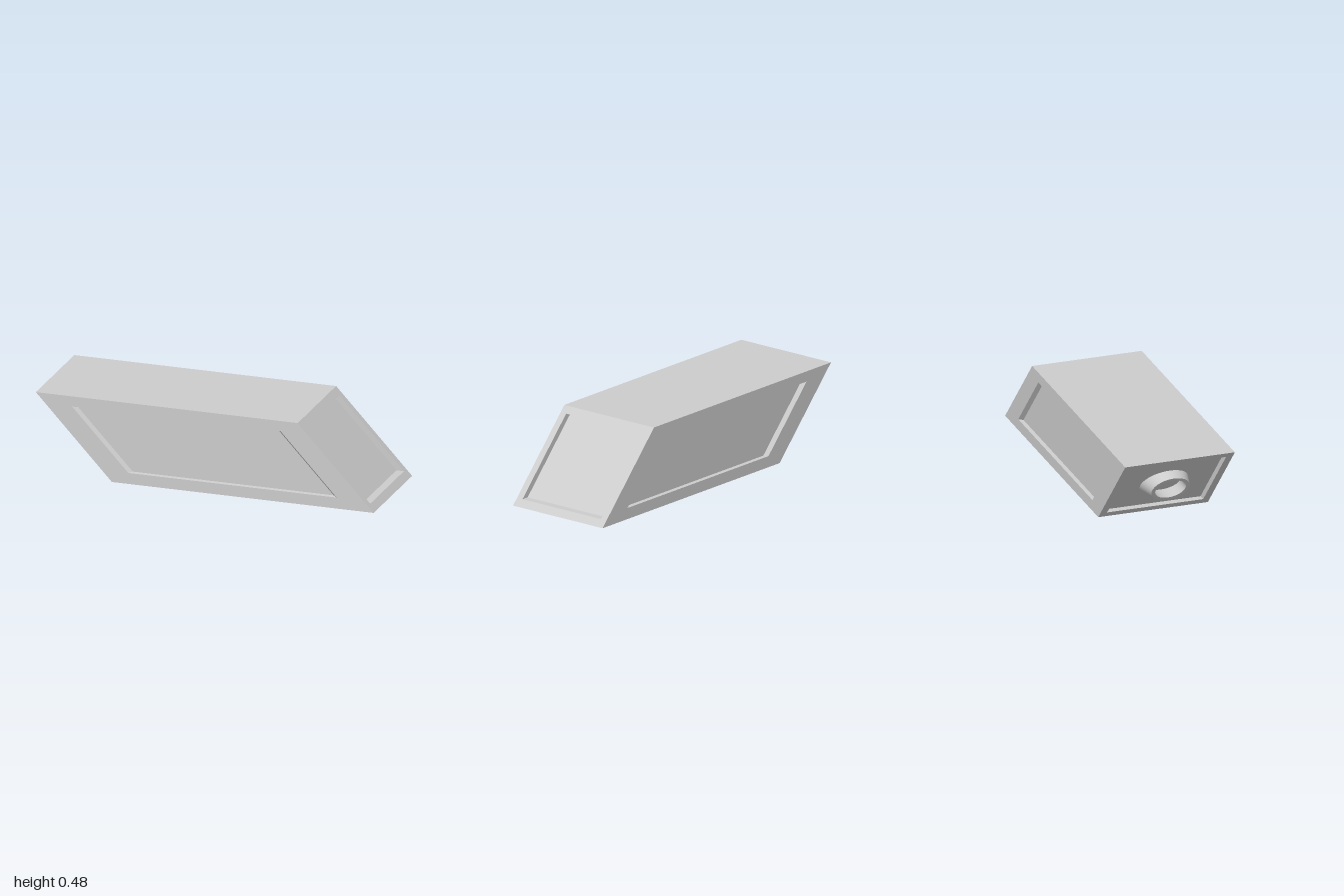
import * as THREE from 'three';

const H = 0.48, MID = H / 2, HALF_X = 0.775, HALF_Z = 0.325;
const SLANT = 0.45 / H;

// Point of the upright box, leaned over so the top shifts towards -x
const lean = (x, y, z) => new THREE.Vector3(x - SLANT * (y - MID), y, z);

// Skin between consecutive loops (counter-clockwise from outside), last loop optionally capped
function skin(loops, cap) {
  const points = loops.flat();
  const n = loops[0].length;
  const index = [];
  for (let l = 0; l < loops.length - 1; l++) {
    for (let i = 0; i < n; i++) {
      const j = (i + 1) % n, a = l * n, b = a + n;
      index.push(a + i, a + j, b + j, a + i, b + j, b + i);
    }
  }
  if (cap) {
    const c = (loops.length - 1) * n;
    for (let i = 1; i < n - 1; i++) index.push(c, c + i, c + i + 1);
  }
  const geometry = new THREE.BufferGeometry().setFromPoints(points);
  geometry.setIndex(index);
  geometry.computeVertexNormals();
  return geometry;
}

export function createModel() {
  const model = new THREE.Group();
  const flat = new THREE.MeshStandardMaterial({ color: 0xcccccc, flatShading: true });
  const smooth = new THREE.MeshStandardMaterial({ color: 0xcccccc });
  const add = (name, geometry, material, parent = model) => {
    const mesh = new THREE.Mesh(geometry, material);
    mesh.name = name;
    parent.add(mesh);
  };

  // Rectangles facing +z or +x; s = -1 turns them half way round the y axis
  const sideLoop = (s, hx, y0, y1, z) =>
    [[-hx, y0], [hx, y0], [hx, y1], [-hx, y1]].map(([x, y]) => lean(s * x, y, s * z));
  const endLoop = (s, x, y0, y1, hz) =>
    [[hz, y0], [-hz, y0], [-hz, y1], [hz, y1]].map(([z, y]) => lean(s * x, y, s * z));

  // Long sides and slanted ends, each a frame around a recessed panel
  for (const s of [1, -1]) {
    add(s > 0 ? 'frontPanel' : 'backPanel', skin([
      sideLoop(s, HALF_X, 0, H, HALF_Z),
      sideLoop(s, 0.617, 0.065, 0.42, HALF_Z),
      sideLoop(s, 0.595, 0.068, 0.417, HALF_Z - 0.022),
    ], true), flat);
    add(s > 0 ? 'leftEnd' : 'rightEnd', skin([
      endLoop(s, HALF_X, 0, H, HALF_Z),
      endLoop(s, HALF_X, 0.037, 0.445, 0.285),
      endLoop(s, HALF_X - 0.045, 0.037, 0.445, 0.285),
    ], true), flat);
  }

  // Plain top and bottom
  const level = (y, s) =>
    [[-1, 1], [1, 1], [1, -1], [-1, -1]].map(([x, z]) => lean(x * HALF_X, y, s * z * HALF_Z));
  add('topPanel', skin([level(H, 1)], true), flat);
  add('bottomPanel', skin([level(0, -1)], true), flat);

  // Tapered hollow spout on the overhanging end
  const spout = new THREE.Group();
  spout.name = 'spout';
  model.add(spout);
  const ring = (cx, ry, rz, slant) => Array.from({ length: 40 }, (_, i) => {
    const t = (i / 40) * Math.PI * 2, dy = ry * Math.sin(t);
    return new THREE.Vector3(cx - slant * dy, MID + dy, rz * Math.cos(t));
  });
  const base = ring(-0.725, 0.11, 0.14, SLANT);
  const rimOuter = ring(-0.842, 0.086, 0.112, 0.647);
  const rimInner = ring(-0.842, 0.068, 0.09, 0.647);
  const boreEnd = ring(-0.74, 0.068, 0.09, SLANT);
  add('spoutWall', skin([base, rimOuter]), smooth);
  add('spoutRim', skin([rimOuter, rimInner]), smooth);
  add('spoutBore', skin([rimInner, boreEnd]), smooth);
  add('spoutFloor', skin([boreEnd], true), smooth);

  return model;
}
